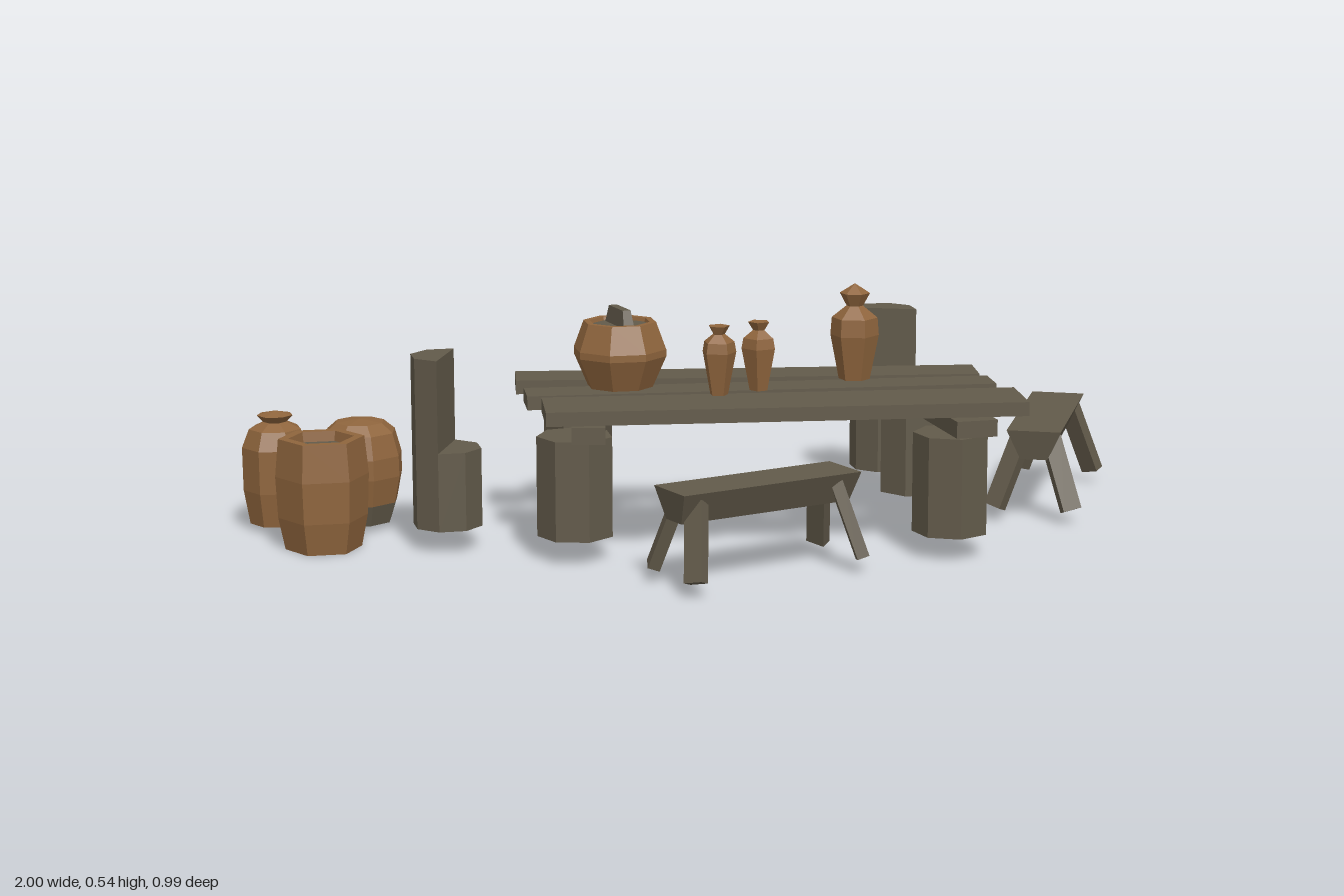
import * as THREE from 'three';

export function createModel() {
  const root = new THREE.Group();
  const wood = new THREE.MeshStandardMaterial({ color: 0x625a4a, flatShading: true });
  wood.name = 'weathered wood';
  const clay = new THREE.MeshStandardMaterial({ color: 0x8f653d, flatShading: true });
  clay.name = 'brown clay';

  const add = (name, geo, mat, x = 0, y = 0, z = 0, ry = 0, parent = root) => {
    const m = new THREE.Mesh(geo, mat);
    m.name = name;
    m.position.set(x, y, z);
    m.rotation.y = ry;
    parent.add(m);
    return m;
  };
  const group = (name, x, z, ry = 0) => {
    const g = new THREE.Group();
    g.name = name;
    g.position.set(x, 0, z);
    g.rotation.y = ry;
    root.add(g);
    return g;
  };
  // faceted turned shape, profile listed from the bottom up as [radius, height]
  const turned = (profile, sides) =>
    new THREE.LatheGeometry(profile.map(p => new THREE.Vector2(p[0], p[1])), sides);
  // square bar between two points
  const bar = (name, a, b, w, d, parent) => {
    const from = new THREE.Vector3(...a), to = new THREE.Vector3(...b);
    const dir = to.clone().sub(from);
    const m = add(name, new THREE.BoxGeometry(w, dir.length(), d), wood, 0, 0, 0, 0, parent);
    m.position.copy(from).add(to).multiplyScalar(0.5);
    m.quaternion.setFromUnitVectors(new THREE.Vector3(0, 1, 0), dir.normalize());
  };

  // table planks: x, z, width, turn
  [[0.1, -0.17, 0.11, -0.132], [0.097, -0.017, 0.095, -0.07], [0.112, 0.143, 0.163, -0.1]]
    .forEach(([x, z, w, r]) =>
      add('tablePlank', new THREE.BoxGeometry(1.02, 0.03, w), wood, x, 0.317, z, r));

  // cross beams below the planks
  add('crossBeam', new THREE.BoxGeometry(0.07, 0.036, 0.6), wood, -0.265, 0.284, -0.095, -0.18);
  add('crossBeam', new THREE.BoxGeometry(0.09, 0.036, 0.52), wood, 0.475, 0.284, 0.04, 0.06);

  // table stumps: x, z, sides, turn
  [[-0.245, -0.345, 5, Math.PI], [-0.33, 0.095, 7, 0.2], [0.485, -0.17, 7, 0.4], [0.455, 0.23, 7, 0]]
    .forEach(([x, z, n, r]) =>
      add('tableStump', new THREE.CylinderGeometry(0.082, 0.082, 0.215, n), wood, x, 0.158, z, r));

  // stump chairs, the back half of each log left standing as a backrest
  const R = 0.076;
  const half = new THREE.Shape();
  for (let i = 0; i <= 4; i++) {
    const a = i * Math.PI / 4;
    half[i ? 'lineTo' : 'moveTo'](R * Math.cos(a), R * Math.sin(a));
  }
  const backGeo = new THREE.ExtrudeGeometry(half, { depth: 0.2, bevelEnabled: false });
  backGeo.rotateX(-Math.PI / 2);
  [[-0.583, -0.053, 1.2], [0.478, -0.42, -0.39]].forEach(([x, z, r]) => {
    const chair = group('stumpChair', x, z, r);
    add('chairSeat', new THREE.CylinderGeometry(R, R, 0.17, 8), wood, 0, 0.135, 0, 0, chair);
    add('chairBack', backGeo, wood, 0, 0.22, 0, 0, chair);
  });

  // benches: a seat tapering downward on four splayed legs
  [[0.015, 0.325, 0.34, 0.43], [0.805, -0.205, 1.137, 0.45]].forEach(([x, z, r, len]) => {
    const bench = group('bench', x, z, r);
    const geo = new THREE.BoxGeometry(len, 0.066, 0.12);
    const p = geo.attributes.position;
    for (let i = 0; i < p.count; i++) {
      if (p.getY(i) < 0) p.setXYZ(i, p.getX(i) * 0.95, p.getY(i), p.getZ(i) * 0.5);
    }
    add('benchSeat', geo, wood, 0, 0.174, 0, 0, bench);
    for (const sx of [-1, 1]) for (const sz of [-1, 1]) {
      bar('benchLeg', [sx * (len / 2 - 0.045), 0.185, sz * 0.032],
        [sx * (len / 2 - 0.012), 0.03, sz * 0.085], 0.042, 0.026, bench);
    }
  });

  // open barrel with a sunken filling
  const barrel = group('openBarrel', -0.845, -0.105, Math.PI / 6);
  add('barrelBody', turned([[0, 0], [0.082, 0], [0.096, 0.07], [0.1, 0.16], [0.092, 0.242],
    [0.07, 0.242], [0.066, 0.215]], 6), clay, 0, 0, 0, 0, barrel);
  add('barrelFilling', new THREE.CylinderGeometry(0.07, 0.07, 0.01, 6), wood, 0, 0.215, 0, 0, barrel);

  // big round pot with a grey foot
  const roundPot = group('roundPot', -0.745, -0.283, 0.2);
  add('roundPotBody', turned([[0.083, 0.06], [0.095, 0.12], [0.094, 0.165], [0.08, 0.215],
    [0.055, 0.236], [0, 0.242]], 8), clay, 0, 0, 0, 0, roundPot);
  add('roundPotFoot', turned([[0, 0.014], [0.068, 0.014], [0.083, 0.06]], 8), wood, 0, 0, 0, 0, roundPot);

  // stoppered jar beside it
  add('stopperedJar', turned([[0, 0.014], [0.06, 0.014], [0.073, 0.09], [0.074, 0.185], [0.058, 0.225],
    [0.026, 0.24], [0.04, 0.255], [0, 0.264]], 7), clay, -0.928, 0, -0.303, 0.3);

  // lidded pot on the table
  const pot = group('liddedPot', -0.2, -0.083, Math.PI / 8);
  add('potBody', turned([[0, 0.332], [0.072, 0.332], [0.102, 0.4], [0.102, 0.415], [0.08, 0.474],
    [0.066, 0.474], [0.062, 0.46]], 8), clay, 0, 0, 0, 0, pot);
  add('potLid', new THREE.CylinderGeometry(0.066, 0.066, 0.01, 8), wood, 0, 0.461, 0, 0, pot);
  add('lidHandle', new THREE.CylinderGeometry(0.016, 0.022, 0.04, 4, 1).rotateY(Math.PI / 4)
    .scale(0.8, 1, 3.6), wood, 0, 0.483, 0, -0.2, pot);

  // vases on the table
  add('tallVase', turned([[0, 0.332], [0.034, 0.332], [0.053, 0.43], [0.05, 0.468], [0.018, 0.494],
    [0.033, 0.522], [0, 0.543]], 6), clay, 0.315, 0, -0.055, 0.2);
  const smallVase = turned([[0, 0.332], [0.02, 0.332], [0.038, 0.424], [0.034, 0.446], [0.013, 0.463],
    [0.024, 0.481], [0, 0.479]], 5);
  add('smallVase', smallVase, clay, -0.012, 0, 0.058, 0.3);
  add('smallVase', smallVase, clay, 0.083, 0, 0.025, 0.9);

  return root;
}
